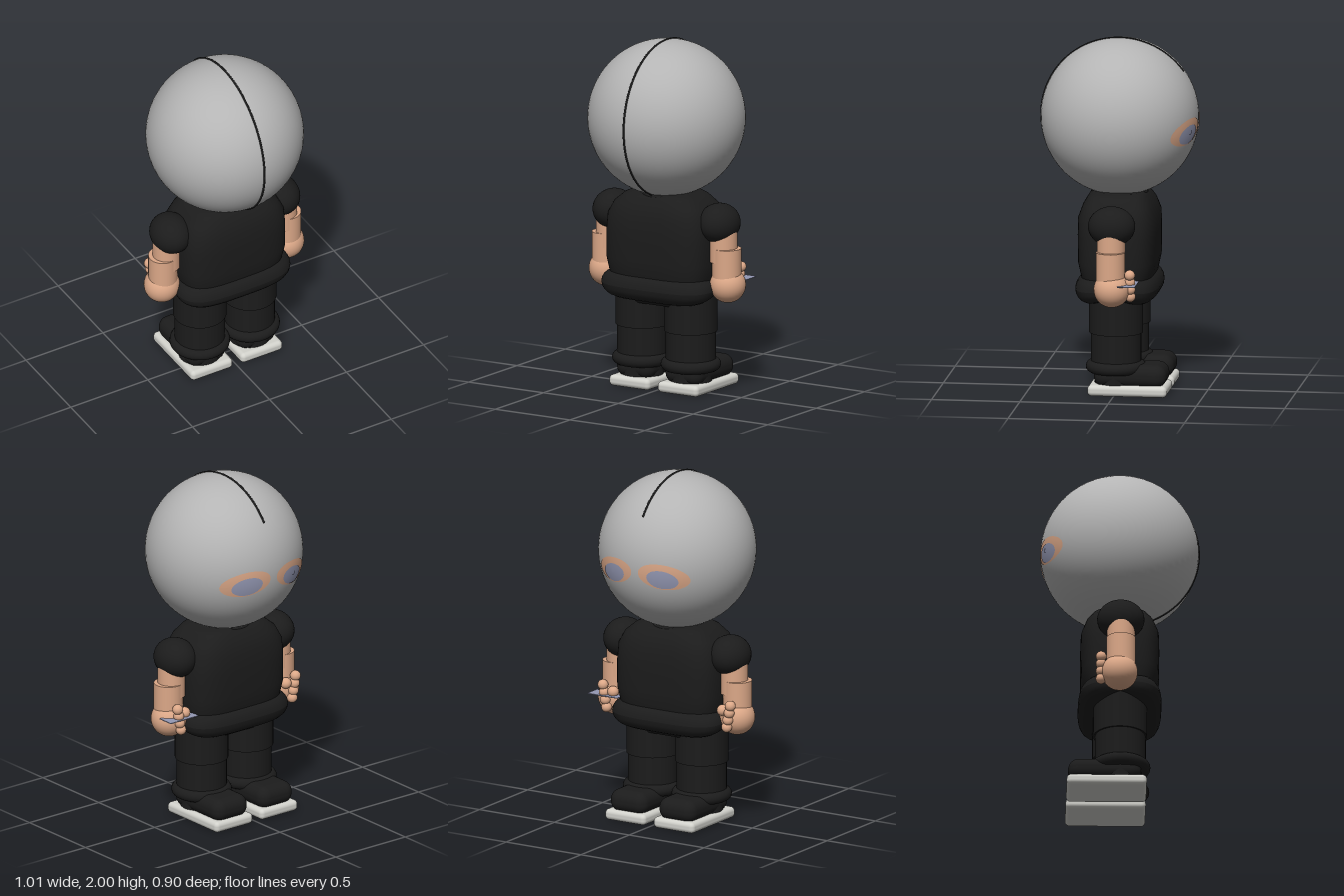
import * as THREE from 'three';
import { RoundedBoxGeometry } from 'three/addons/geometries/RoundedBoxGeometry.js';

const mat = (name, color, side = THREE.FrontSide) => {
  const m = new THREE.MeshStandardMaterial({ color, side });
  m.name = name;
  return m;
};

const HEAD_Y = 1.555, HEAD_R = 0.445;
const spow = (v, p) => Math.sign(v) * Math.pow(Math.abs(v), p);

// Rows of points (each row a closed loop) joined into one smooth surface
function gridGeometry(rows) {
  const n = rows[0].length, pos = [], idx = [];
  rows.forEach((row) => row.forEach((p) => pos.push(...p)));
  for (let i = 0; i < rows.length - 1; i++) {
    for (let j = 0; j < n; j++) {
      const k = (j + 1) % n;
      const a = i * n + j, b = i * n + k, c = a + n, d = b + n;
      idx.push(a, c, b, b, c, d);
    }
  }
  const g = new THREE.BufferGeometry();
  g.setAttribute('position', new THREE.Float32BufferAttribute(pos, 3));
  g.setIndex(idx);
  g.computeVertexNormals();
  return g;
}

// Rounded-rectangle outline in the ground plane
function outline(hx, hz, y, power, n = 48) {
  return Array.from({ length: n }, (_, j) => {
    const a = (j / n) * Math.PI * 2;
    return [hx * spow(Math.cos(a), power), y, hz * spow(Math.sin(a), power)];
  });
}

// Elliptical patch hugging the head
function facePatch(cx, cy, hx, hy, tilt, lift) {
  const g = new THREE.RingGeometry(0.001, 1, 40, 8);
  const p = g.attributes.position, r = HEAD_R + lift;
  for (let i = 0; i < p.count; i++) {
    const u = p.getX(i) * hx, v = p.getY(i) * hy;
    const x = cx + u, y = cy + v - tilt * u;
    const dy = y - HEAD_Y;
    p.setXYZ(i, x, y, -Math.sqrt(Math.max(0, r * r - x * x - dy * dy)));
  }
  g.computeVertexNormals();
  return g;
}

export function createModel() {
  const cloth = mat('black cloth', 0x1c1c1c, THREE.DoubleSide);
  const mask = mat('grey mask', 0xb4b4b4);
  const skin = mat('skin', 0xdca888, THREE.DoubleSide);
  const steel = mat('blue grey', 0x9599b4, THREE.DoubleSide);
  const sole = mat('pale sole', 0xd2d2cc);

  const model = new THREE.Group();
  model.name = 'figure';
  const add = (parent, name, geo, m, x = 0, y = 0, z = 0) => {
    const mesh = new THREE.Mesh(geo, m);
    mesh.name = name;
    mesh.position.set(x, y, z);
    parent.add(mesh);
    return mesh;
  };
  const cyl = (rt, rb, h) => new THREE.CylinderGeometry(rt, rb, h, 36);
  const ball = (r) => new THREE.SphereGeometry(r, 32, 24);
  const ring = (r, t) => new THREE.TorusGeometry(r, t, 16, 40).rotateX(Math.PI / 2);

  // Head with a seam over the crown
  const head = new THREE.Group();
  head.name = 'head';
  model.add(head);
  add(head, 'mask', new THREE.SphereGeometry(HEAD_R, 64, 48), mask, 0, HEAD_Y, 0);
  const deg = Math.PI / 180;
  const seam = new THREE.TorusGeometry(HEAD_R, 0.006, 8, 90, 214 * deg);
  seam.rotateZ(-70 * deg).rotateY(-Math.PI / 2);
  add(head, 'seam', seam, cloth, 0, HEAD_Y, 0);

  // Eye openings on the -z side
  for (const s of [-1, 1]) {
    const t = 0.1 * s;
    add(head, 'eyeOpening', facePatch(s * 0.16, 1.502, 0.138, 0.074, t, 0.002), skin);
    add(head, 'eye', facePatch(s * 0.16, 1.487, 0.085, 0.053, t, 0.005), steel);
    add(head, 'pupil', facePatch(s * 0.16, 1.5, 0.014, 0.014, t, 0.009), steel);
  }

  // Torso as stacked rounded outlines: y, half width, half depth
  const sections = [
    [0.5, 0.01, 0.01], [0.5, 0.26, 0.14], [0.6, 0.3, 0.19], [0.68, 0.318, 0.205],
    [0.75, 0.33, 0.22], [0.9, 0.33, 0.222], [1.0, 0.32, 0.22], [1.07, 0.285, 0.195],
    [1.12, 0.225, 0.165], [1.14, 0.18, 0.14], [1.14, 0.01, 0.01],
  ];
  add(model, 'torso', gridGeometry(sections.map(([y, x, z]) => outline(x, z, y, 0.55))), cloth);
  add(model, 'neck', cyl(0.14, 0.15, 0.12), cloth, 0, 1.13, 0);
  add(model, 'collar', ring(0.135, 0.025), cloth, 0, 1.122, 0).scale.set(1.2, 1, 1);

  // Shirt hem: a roll that is thicker at front and back than at the sides
  const hem = [];
  for (let i = 0; i <= 20; i++) {
    const b = (i / 20) * Math.PI * 2;
    hem.push(outline(1, 1, 0, 0.6).map(([x, , z]) => {
      const r = 0.045 + 0.035 * Math.min(1, Math.abs(z) * 1.1);
      const out = Math.cos(b) * r;
      return [x * (0.3 + out), 0.61 - 0.012 * Math.abs(z) + Math.sin(b) * r, z * (0.155 + out)];
    }));
  }
  add(model, 'shirtHem', gridGeometry(hem), cloth);

  for (const s of [-1, 1]) {
    // Leg, cuff and shoe
    const leg = new THREE.Group();
    leg.name = s > 0 ? 'leftLeg' : 'rightLeg';
    leg.position.x = s * 0.162;
    model.add(leg);
    add(leg, 'thigh', cyl(0.151, 0.151, 0.25), cloth, 0, 0.475, 0);
    add(leg, 'shin', cyl(0.142, 0.142, 0.22), cloth, 0, 0.25, 0);
    add(leg, 'trouserCuff', ring(0.135, 0.035), cloth, 0, 0.157, 0);
    add(leg, 'ankle', cyl(0.12, 0.12, 0.12), cloth, 0, 0.11, 0);
    add(leg, 'shoe', new RoundedBoxGeometry(0.24, 0.13, 0.41, 6, 0.06), cloth, 0, 0.113, -0.088);
    add(leg, 'sole', new RoundedBoxGeometry(0.27, 0.063, 0.45, 5, 0.025), sole, 0, 0.0325, -0.077);

    // Arm, sleeve and fist
    const arm = new THREE.Group();
    arm.name = s > 0 ? 'leftArm' : 'rightArm';
    model.add(arm);
    add(arm, 'sleeve', ball(1), cloth, s * 0.352, 0.988, 0).scale.set(0.115, 0.113, 0.133);
    add(arm, 'upperArm', cyl(0.078, 0.078, 0.2), skin, s * 0.38, 0.87, 0);
    add(arm, 'forearm', cyl(0.082, 0.082, 0.18), skin, s * 0.402, 0.76, 0);
    add(arm, 'hand', ball(0.102), skin, s * 0.404, 0.638, -0.008);
    for (let i = 0; i < 4; i++) {
      add(arm, 'finger', ball(0.03), skin, s * (0.425 - 0.008 * i), 0.725 - i * 0.042, -0.112);
    }
    add(arm, 'thumb', ball(0.032), skin, s * 0.365, 0.69, -0.1);
  }

  // Thin plate held in the left hand
  add(model, 'heldPlate', new THREE.BoxGeometry(0.2, 0.004, 0.1), steel, 0.405, 0.67, -0.1);
  return model;
}
